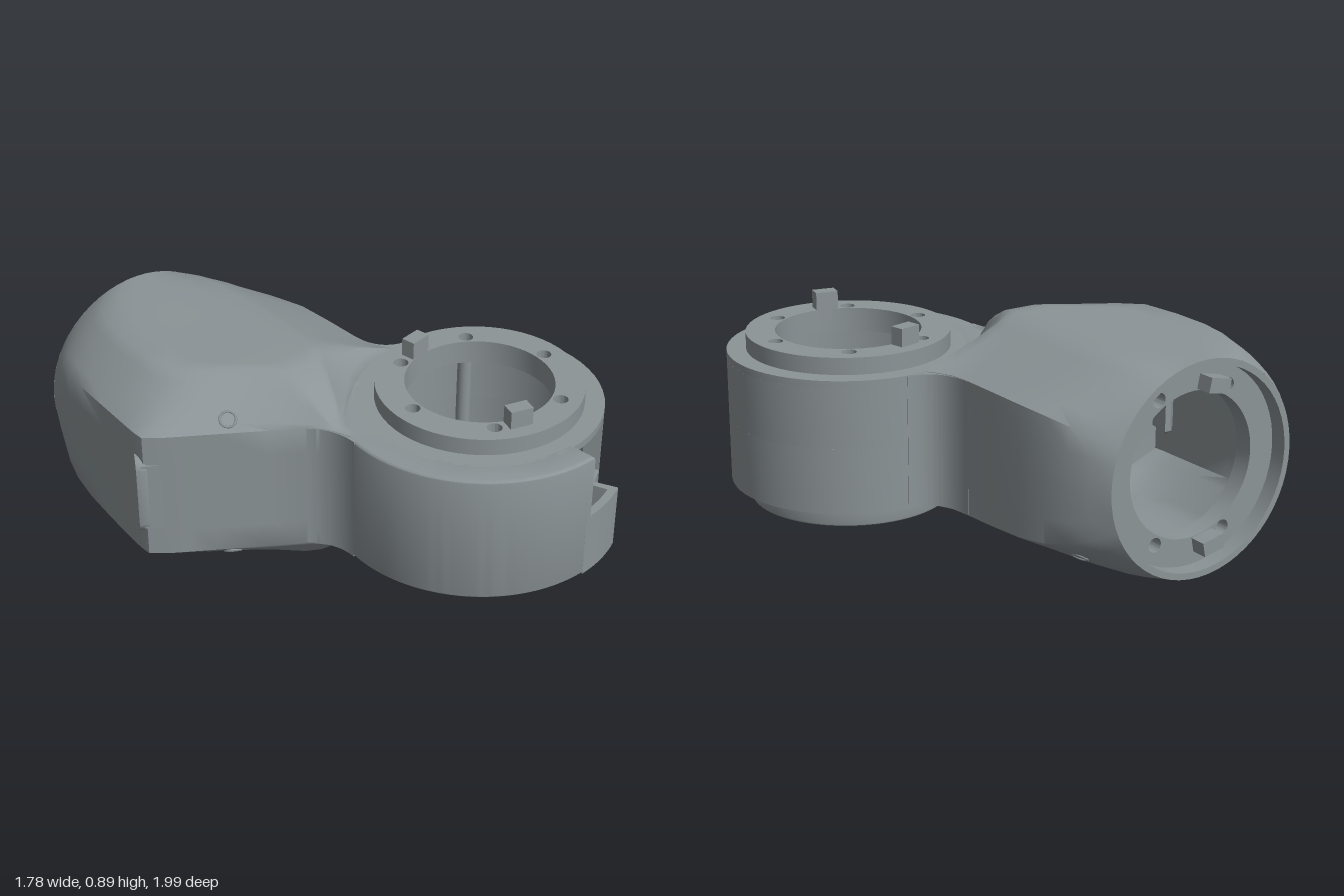
import * as THREE from 'three';
import { toCreasedNormals } from 'three/addons/utils/BufferGeometryUtils.js';

const casing = new THREE.MeshStandardMaterial({ color: 0x8c9497, side: THREE.DoubleSide });
casing.name = 'grey casing';
const RAD = Math.PI / 180;
const { lerp } = THREE.MathUtils;

function add(parent, name, geo, x = 0, y = 0, z = 0) {
  const m = new THREE.Mesh(geo, casing);
  m.name = name;
  m.position.set(x, y, z);
  parent.add(m);
  return m;
}

// Plan shape (shape y = -z) raised from y0 to y1, with an optional rounded edge
function raise(shape, y0, y1, bevel = 0) {
  const g = new THREE.ExtrudeGeometry(shape, {
    depth: y1 - y0 - 2 * bevel, curveSegments: 28, bevelEnabled: bevel > 0,
    bevelSize: bevel, bevelOffset: -bevel, bevelThickness: bevel, bevelSegments: 3,
  });
  g.rotateX(-Math.PI / 2);
  g.translate(0, y0 + bevel, 0);
  return toCreasedNormals(g, 0.5);
}

function circleHole(x, y, r) {
  return new THREE.Path().absarc(x, y, r, 0, Math.PI * 2, true);
}

// Ring, optionally with screw holes at the given angles in degrees
function ring(outer, inner, screwAngles = []) {
  const s = new THREE.Shape().absarc(0, 0, outer, 0, Math.PI * 2, false);
  s.holes.push(circleHole(0, 0, inner));
  for (const a of screwAngles) {
    s.holes.push(circleHole(0.338 * Math.cos(a * RAD), 0.338 * Math.sin(a * RAD), 0.03));
  }
  return s;
}

// Ring sector between two angles in degrees
function sector(outer, inner, a0, a1) {
  const s = new THREE.Shape();
  s.absarc(0, 0, outer, a0 * RAD, a1 * RAD, false);
  s.absarc(0, 0, inner, a1 * RAD, a0 * RAD, true);
  s.closePath();
  return s;
}

// Housing sections along z: left, plateau left, plateau right, right, half height, roundness
const sections = [
  [-1, -0.86, -0.67, -0.08, 0.26, 0.442, 1],
  [-0.93, -0.86, -0.67, -0.08, 0.26, 0.442, 0.68],
  [-0.85, -0.86, -0.67, -0.08, 0.26, 0.442, 0.42],
  [-0.75, -0.86, -0.67, -0.08, 0.26, 0.442, 0.22],
  [-0.62, -0.86, -0.67, -0.08, 0.262, 0.442, 0.1],
  [-0.45, -0.86, -0.66, -0.08, 0.262, 0.442, 0.04],
  [-0.28, -0.86, -0.63, -0.08, 0.263, 0.444, 0],
  [-0.2, -0.86, -0.54, -0.08, 0.275, 0.445, 0],
  [-0.15, -0.855, -0.45, -0.08, 0.3, 0.445, 0],
  [-0.1, -0.785, -0.37, -0.09, 0.33, 0.445, 0],
  [-0.06, -0.715, -0.31, -0.1, 0.18, 0.445, 0],
  [0, -0.608, -0.27, -0.12, 0.07, 0.435, 0],
  [0.1, -0.43, -0.26, -0.14, -0.04, 0.385, 0],
  [0.18, -0.29, -0.24, -0.16, -0.12, 0.335, 0],
  [0.24, -0.235, -0.22, -0.19, -0.17, 0.285, 0],
  [0.32, -0.2, -0.19, -0.18, -0.16, 0.28, 0],
];

// Loft through the sections: round at the rear, chamfered box further on
function loft(rows, scale = 1) {
  const SUB = 5, N = 8 * SUB, cx = -0.32, pos = [], idx = [];
  for (const [z, l, pl, pr, r, h, m] of rows) {
    const w = Math.min(0.28, h);
    const c = [[r, -w], [r, w], [pr, h], [pl, h], [l, w], [l, -w], [pl, -h], [pr, -h]];
    for (let k = 0; k < 8; k++) for (let j = 0; j < SUB; j++) {
      const f = j / SUB, a = (-22.5 + 45 * (k + f)) * RAD, p = c[k], q = c[(k + 1) % 8];
      const x = lerp(lerp(p[0], q[0], f), -0.345 + 0.442 * Math.cos(a), m);
      const y = lerp(lerp(p[1], q[1], f), 0.442 * Math.sin(a), m);
      pos.push(cx + (x - cx) * scale, 0.45 + y * scale, z);
    }
  }
  for (let i = 0; i < rows.length - 1; i++) for (let j = 0; j < N; j++) {
    const a = i * N + j, b = i * N + (j + 1) % N;
    idx.push(a, b, b + N, a, b + N, a + N);
  }
  const g = new THREE.BufferGeometry();
  g.setAttribute('position', new THREE.Float32BufferAttribute(pos, 3));
  g.setIndex(idx);
  return toCreasedNormals(g, 0.8);
}

function buildHousing() {
  const g = new THREE.Group();
  g.name = 'housing';
  add(g, 'housingShell', loft(sections));
  // Hollow inside, closed at its far end
  add(g, 'housingInterior', loft([...sections.slice(2, 9), [-0.13, -0.3, -0.3, -0.3, -0.3, 0, 0]], 0.92));

  // Fillets where the housing runs into the drum
  const right = new THREE.Shape();
  right.moveTo(0.2, 0.3);
  right.lineTo(0.2, 0.05);
  right.lineTo(0.42, 0.09);
  right.lineTo(0.42, 0.111);
  right.quadraticCurveTo(0.27, 0.12, 0.263, 0.3);
  const left = new THREE.Shape();
  left.moveTo(-0.33, -0.155);
  left.quadraticCurveTo(-0.215, -0.22, -0.209, -0.36);
  left.lineTo(-0.15, -0.36);
  left.lineTo(-0.15, -0.155);
  for (const s of [right, left]) add(g, 'neckFillet', raise(s, 0.175, 0.728));

  // Rear socket: thin rim, recess and screw flange
  const rim = new THREE.LatheGeometry([[0.442, -1], [0.415, -1], [0.415, -0.88]]
    .map(([r, z]) => new THREE.Vector2(r, z)), 56);
  rim.rotateX(Math.PI / 2);
  add(g, 'socketRim', toCreasedNormals(rim, 0.5), -0.345, 0.45, 0);
  const flange = add(g, 'socketFlange', raise(ring(0.42, 0.3, [60, 120, 240, 300]), 0, 0.08), -0.345, 0.45, -0.93);
  flange.rotation.x = Math.PI / 2;
  for (const s of [-1, 1]) {
    const peg = add(g, 'socketPeg', new THREE.BoxGeometry(0.1, 0.06, 0.09), -0.415, 0.45 + s * 0.325, -0.955);
    peg.rotation.z = s * 0.2;
  }

  // Slotted cable loop on the side corner, with the solid base behind it
  const loop = new THREE.Shape();
  loop.absarc(0, 0.12, 0.055, 0, Math.PI, false);
  loop.absarc(0, -0.12, 0.055, Math.PI, Math.PI * 2, false);
  const slot = new THREE.Path();
  slot.absarc(0, 0.08, 0.026, 0, Math.PI, false);
  slot.absarc(0, -0.08, 0.026, Math.PI, Math.PI * 2, false);
  loop.holes.push(slot);
  const lg = new THREE.ExtrudeGeometry(loop, { depth: 0.035, bevelEnabled: true, bevelSize: 0.006, bevelThickness: 0.006, bevelSegments: 2 });
  const handle = add(g, 'cableLoop', toCreasedNormals(lg, 0.5), -0.825, 0.45, -0.19);
  handle.rotation.y = -Math.PI / 2 - 0.46;
  const base = new THREE.Shape([[-0.83, 0.25], [-0.868, 0.148], [-0.8, 0.11], [-0.78, 0.25]]
    .map(([x, y]) => new THREE.Vector2(x, y)));
  add(g, 'cableLoopBase', raise(base, 0.3, 0.6));

  // Screw seats on the sloping faces: position and facing
  const seats = [
    [-0.545, 0.77, -0.01, -0.3, 0.75, 0.55], [-0.545, 0.13, -0.01, -0.3, -0.75, 0.55],
    [0.085, 0.125, -0.8, 0.57, -0.8, -0.2], [-0.03, 0.066, -0.02, 0.6, -0.75, 0.15],
  ];
  for (const [x, y, z, nx, ny, nz] of seats) {
    const seat = add(g, 'screwSeat', new THREE.TorusGeometry(0.032, 0.005, 6, 20), x, y, z);
    seat.lookAt(x + nx, y + ny, z + nz);
  }
  return g;
}

function buildDrum() {
  const g = new THREE.Group();
  g.name = 'drum';
  g.position.set(0.39, 0, 0.39);

  // Wall in three bands, the middle one open at the front notch
  add(g, 'lowerWall', raise(ring(0.5, 0.43), 0.175, 0.45));
  add(g, 'middleWall', raise(sector(0.5, 0.43, -50, 278), 0.45, 0.7));
  add(g, 'upperWall', raise(ring(0.5, 0.41), 0.7, 0.73));
  add(g, 'outerJacket', raise(sector(0.6, 0.47, 130, 278), 0.175, 0.73, 0.015));

  // Thin guard below the notch, with two pin holes in the face beside it
  add(g, 'notchGuard', raise(sector(0.6, 0.565, 276, 299), 0.175, 0.45));
  add(g, 'guardEnd', raise(sector(0.6, 0.49, 297, 300), 0.175, 0.45));
  for (const y of [0.5, 0.6]) {
    const pin = add(g, 'notchPin', new THREE.TorusGeometry(0.017, 0.004, 6, 16), 0.082, y, 0.53);
    pin.rotation.y = Math.PI / 2;
  }

  // Top collar with blind screw holes and locating pegs
  const screws = [0, 60, 120, 180, 240, 300];
  add(g, 'topCollar', raise(ring(0.42, 0.3, screws), 0.7, 0.8));
  for (const a of screws) {
    add(g, 'screwHoleFloor', new THREE.CylinderGeometry(0.031, 0.031, 0.01, 20),
      0.338 * Math.cos(a * RAD), 0.73, 0.338 * Math.sin(a * RAD));
  }
  for (const s of [-1, 1]) {
    const peg = add(g, 'locatingPeg', new THREE.BoxGeometry(0.095, 0.13, 0.06), -0.075, 0.81, s * 0.32);
    peg.rotation.y = -s * 0.22;
  }

  // Lower collar, open at the front, with a half floor
  add(g, 'lowerCollar', raise(sector(0.42, 0.37, -40, 258), 0.09, 0.2, 0.01));
  add(g, 'lowerStep', raise(ring(0.44, 0.41), 0.18, 0.22));
  const floor = new THREE.Shape();
  floor.absarc(0, 0, 0.4, 0, Math.PI, false);
  floor.lineTo(-0.16, 0);
  floor.absarc(0, 0, 0.16, Math.PI, 0, true);
  floor.closePath();
  add(g, 'halfFloor', raise(floor, 0.1, 0.14));
  add(g, 'floorBar', new THREE.BoxGeometry(0.47, 0.14, 0.09), 0, 0.2, -0.185);
  for (const s of [-1, 1]) {
    add(g, 'screwPost', new THREE.CylinderGeometry(0.03, 0.03, 0.58, 16), s * 0.17, 0.42, -0.294);
  }

  // Bearing hub with a flat front edge
  const hubShape = (r, flat) => {
    const a = Math.asin(flat / r), s = new THREE.Shape();
    s.absarc(0, 0, r, -a, Math.PI + a, false);
    s.closePath();
    s.holes.push(circleHole(0, 0, 0.14));
    return s;
  };
  add(g, 'hub', raise(hubShape(0.185, 0.15), 0.015, 0.12, 0.008));
  add(g, 'hubFlange', raise(hubShape(0.205, 0.145), 0.1, 0.14));
  return g;
}

export function createModel() {
  const model = new THREE.Group();
  model.name = 'elbowJoint';
  model.add(buildHousing(), buildDrum());
  return model;
}
